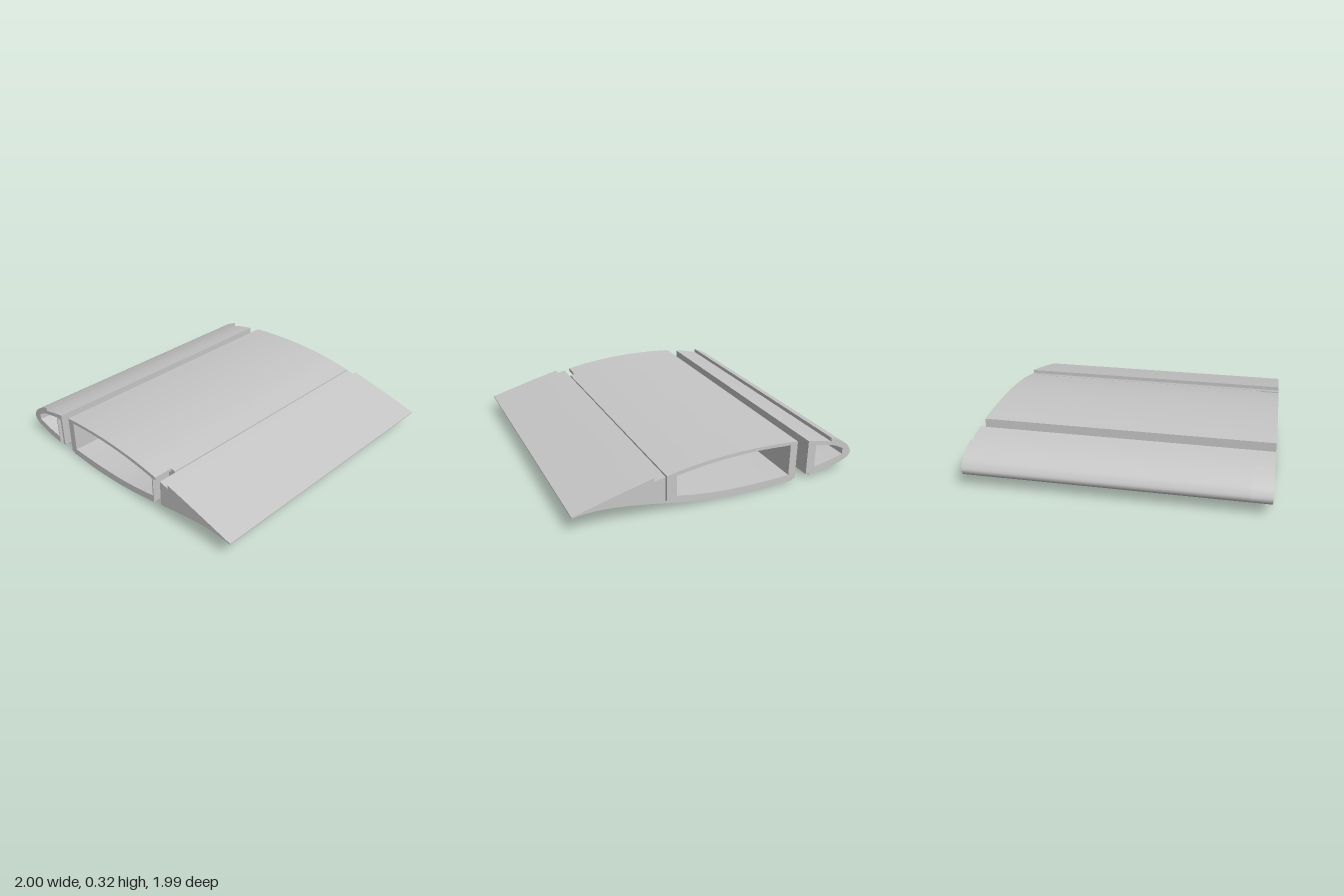
import * as THREE from 'three';
import { toCreasedNormals } from 'three/addons/utils/BufferGeometryUtils.js';

const END = 0.995;     // half span
const NOTCH = 0.86;    // the hinge notches start here

// Outline from corner points [x, y]; a nested list of points is a smooth curve.
function trace(path, steps) {
  const [start, ...rest] = steps;
  path.moveTo(...start);
  for (const s of rest) {
    if (Array.isArray(s[0])) path.splineThru(s.map(p => new THREE.Vector2(...p)));
    else path.lineTo(...s);
  }
  return path;
}

export function createModel() {
  const group = new THREE.Group();
  const grey = new THREE.MeshStandardMaterial({ color: 0xc6c6c6 });
  grey.name = 'grey';

  // Sweep a section along the span from z0 to z1
  function sweep(name, outline, z0, z1, hole) {
    const shape = trace(new THREE.Shape(), outline);
    if (hole) shape.holes.push(trace(new THREE.Path(), hole));
    const geo = new THREE.ExtrudeGeometry(shape, { depth: z1 - z0, bevelEnabled: false, curveSegments: 6 });
    geo.translate(0, 0, z0);
    const mesh = new THREE.Mesh(toCreasedNormals(geo, 0.4), grey);
    mesh.name = name;
    group.add(mesh);
  }

  // Leading edge: hollow nose with a step on top (counter-clockwise, hole clockwise)
  const noseSkin = [
    [-0.645, 0.28], [[-0.74, 0.263], [-0.83, 0.24]], [-0.83, 0.267],
    [[-0.9, 0.237], [-0.96, 0.197], [-0.99, 0.16], [-1, 0.13], [-0.985, 0.1],
      [-0.94, 0.075], [-0.84, 0.046], [-0.703, 0.026]],
  ];
  const noseHole = [
    [-0.709, 0.077], [[-0.83, 0.098], [-0.933, 0.125]], [-0.933, 0.168],
    [[-0.85, 0.208], [-0.709, 0.239]],
  ];
  sweep('leadingEdge',
    [...noseSkin, [-0.67, 0.022], [-0.67, 0.034], [-0.645, 0.032]],
    -END, NOTCH, noseHole);
  // At the notch a slot from below leaves a thin wall on each side
  sweep('leadingEdgeSlottedEnd',
    [...noseSkin, [-0.703, 0.24], [-0.662, 0.24], [-0.662, 0.033], [-0.645, 0.032]],
    NOTCH, END, noseHole);

  // Main wing box (clockwise, hole counter-clockwise)
  const boxHole = [
    [-0.503, 0.06], [[-0.35, 0.055], [-0.2, 0.055], [0, 0.062], [0.16, 0.079], [0.32, 0.104]],
    [0.32, 0.246], [[0.16, 0.27], [0, 0.286], [-0.2, 0.292], [-0.35, 0.289], [-0.503, 0.28]],
  ];
  const boxOutline = (x, top, rear) => [
    [-0.557, 0.297], [[-0.4, 0.309], [-0.2, 0.315], [0, 0.309], [0.2, 0.291], [x, top]],
    ...rear, [[0.2, 0.034], [0, 0.01], [-0.15, 0.002], [-0.3, 0], [-0.4, 0.005], [-0.535, 0.012]],
    [-0.535, 0.021], [-0.557, 0.023],
  ];
  sweep('wingBox', boxOutline(0.389, 0.258, [[0.389, 0.068]]), -END, NOTCH, boxHole);
  // At the notch only a thin rear wall and a short top lip remain
  sweep('wingBoxSlottedEnd',
    boxOutline(0.355, 0.265, [[0.355, 0.245], [0.329, 0.245], [0.329, 0.056]]),
    NOTCH, END, boxHole);

  // Thin living hinge along the bottom of the seam
  sweep('hinge', [[0.388, 0.068], [0.398, 0.073], [0.398, 0.082], [0.388, 0.078]], -END, NOTCH);

  // Trailing flap with a step on top and a small one below
  sweep('flap', [
    [0.397, 0.256], [0.47, 0.239], [0.47, 0.266], [[0.72, 0.203], [1, 0.127]], [1, 0.119],
    [[0.92, 0.129], [0.8, 0.13], [0.65, 0.114], [0.44, 0.08]], [0.44, 0.077], [0.397, 0.073],
  ], -END, END);

  return group;
}
